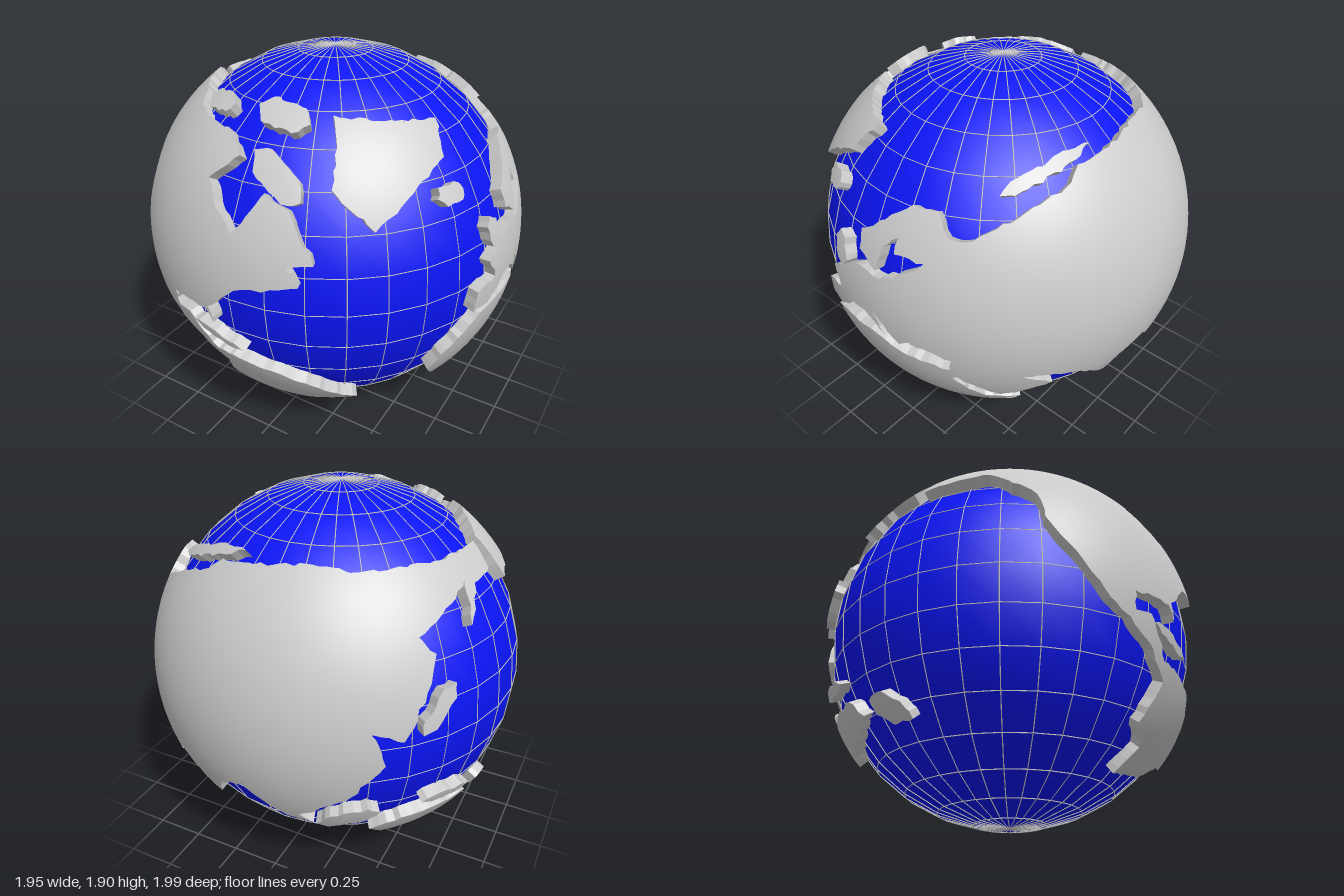
import * as THREE from 'three';
import { mergeGeometries } from 'three/addons/utils/BufferGeometryUtils.js';

const LAND_R = 0.997, BASE_R = 0.93, SEA_R = 0.943, STEP = 0.09;
const grey = new THREE.MeshStandardMaterial({ color: 0xcccccc, side: THREE.DoubleSide });
const blue = new THREE.MeshStandardMaterial({ color: 0x0a14f5 });

// Drops a flat outline (u,v in percent of the radius) onto the unit sphere from the
// direction given by yaw and pitch; returns points of longitude and latitude
const drape = (yaw, pitch) => (...uv) => {
  const turn = new THREE.Euler(-THREE.MathUtils.degToRad(pitch), THREE.MathUtils.degToRad(yaw), 0, 'YXZ');
  const out = [];
  for (let i = 0; i < uv.length; i += 2) {
    const u = uv[i] / 100, v = uv[i + 1] / 100;
    const p = new THREE.Vector3(u, v, Math.sqrt(Math.max(0, 1 - u * u - v * v))).normalize().applyEuler(turn);
    out.push(new THREE.Vector2(Math.atan2(p.x, p.z), Math.asin(p.y)));
  }
  return out;
};
const front = drape(0, 0), side = drape(90, 0), top = drape(0, 90);
const rear = drape(225, 25), under = drape(140, -28);

// Long island: a six-sided outline along a spine, w being half its width
function island(facing, u1, v1, u2, v2, w) {
  const a = new THREE.Vector2(u1, v1), b = new THREE.Vector2(u2, v2);
  const n = b.clone().sub(a).normalize().rotateAround(new THREE.Vector2(), Math.PI / 2);
  const at = (t, s) => a.clone().lerp(b, t).addScaledVector(n, s * w).toArray();
  return facing(...a, ...at(0.2, -1), ...at(0.8, -1), ...b, ...at(0.8, 1), ...at(0.2, 1));
}

const onSphere = (p, r) => new THREE.Vector3().setFromSphericalCoords(r, Math.PI / 2 - p.y, p.x).toArray();

// Raised land: a curved cap over the outline, with walls going down into the sea
function land(name, pts) {
  // Unwrap longitudes, then split the coast into short, slightly ragged pieces
  for (let i = 1; i < pts.length; i++) {
    pts[i].x -= 2 * Math.PI * Math.round((pts[i].x - pts[i - 1].x) / (2 * Math.PI));
  }
  const ring = [];
  pts.forEach((p, i) => {
    const q = pts[(i + 1) % pts.length], n = Math.ceil(p.distanceTo(q) / (STEP / 2));
    ring.push(p);
    for (let k = 1; k < n; k++) {
      const s = ring.length;
      const ragged = new THREE.Vector2(Math.sin(7 * s * s), Math.cos(5 * s * s)).multiplyScalar(0.008);
      ring.push(p.clone().lerp(q, k / n).add(ragged));
    }
  });
  if (THREE.ShapeUtils.isClockWise(ring)) ring.reverse();

  // Cap: halve the longest edge until every triangle hugs the sphere
  const cap = [];
  const split = (a, b, c) => {
    const ab = a.distanceTo(b), bc = b.distanceTo(c), ca = c.distanceTo(a);
    const longest = Math.max(ab, bc, ca);
    if (longest < STEP) {
      for (const p of [a, b, c]) cap.push(...onSphere(p, LAND_R));
    } else if (longest === bc) split(b, c, a);
    else if (longest === ca) split(c, a, b);
    else {
      const h = a.clone().lerp(b, 0.5);
      split(a, h, c);
      split(h, b, c);
    }
  };
  for (const [i, j, k] of THREE.ShapeUtils.triangulateShape(ring, [])) split(ring[i], ring[j], ring[k]);
  const capGeo = new THREE.BufferGeometry();
  capGeo.setAttribute('position', new THREE.Float32BufferAttribute(cap, 3));
  capGeo.setAttribute('normal', new THREE.Float32BufferAttribute(cap.map(v => v / LAND_R), 3));

  // Coast walls
  const wall = [];
  ring.forEach((p, i) => {
    const q = ring[(i + 1) % ring.length];
    const a = onSphere(p, BASE_R), b = onSphere(q, BASE_R), c = onSphere(q, LAND_R), d = onSphere(p, LAND_R);
    wall.push(...a, ...b, ...c, ...a, ...c, ...d);
  });
  const wallGeo = new THREE.BufferGeometry();
  wallGeo.setAttribute('position', new THREE.Float32BufferAttribute(wall, 3));
  wallGeo.computeVertexNormals();

  const mesh = new THREE.Mesh(mergeGeometries([capGeo, wallGeo]), grey);
  mesh.name = name;
  return mesh;
}

export function createModel() {
  const globe = new THREE.Group();
  globe.name = 'globe';
  globe.position.set(-0.025, 0.951, 0);

  // Sea
  const sea = new THREE.Mesh(new THREE.SphereGeometry(SEA_R, 32, 16), blue);
  sea.name = 'sea';
  globe.add(sea);

  // Grid wires: full meridian rings and parallels
  const wire = (name, r) => {
    const mesh = new THREE.Mesh(new THREE.TorusGeometry(r, 0.0025, 4, 32), grey);
    mesh.name = name;
    globe.add(mesh);
    return mesh;
  };
  const gridR = SEA_R + 0.003;
  for (let i = 0; i < 16; i++) {
    const t = i * Math.PI / 16;
    wire('meridian', gridR).rotation.y = t;
    if (i === 0) continue;
    const parallel = wire('parallel', gridR * Math.sin(t));
    parallel.rotation.x = Math.PI / 2;
    parallel.position.y = gridR * Math.cos(t);
  }

  // Western continents: west coast southwards, then back up the east coast
  globe.add(land('westernContinents', [
    ...top(-67, -6, -83, -9),
    ...front(-70, 60, -66, 39, -68, 23, -63, 10, -46, -14, -23, -28, -7, -41, -12, -59, -2, -67, -6, -78,
      16, -75, 34, -66, 48, -64, 33, -44, 19, -37, -1, -33, -10, -33, -20, -21, -24, -15, -33, -16,
      -34, -7, -11, -6, -7, -13, -9, -4, 7, 10, 36, 17, 30, 25, 41, 27, 27, 48, 15, 53, 9, 43, 3, 35,
      -15, 53, -2, 64, -12, 71, -38, 73),
    ...top(-44, -45, -57, -20),
  ]));

  // Eastern continents: north coast westwards, round the inland sea and the
  // southern continent, then along the south and east coasts
  globe.add(land('easternContinents', [
    ...top(-68, 0, -57, 37, -36, 58, -15, 64, 27, 65, 34, 67),
    ...side(61, 60, 47, 48, 38, 48, 30, 57, 19, 57, -4, 40, -3, 31, 8, 25, 10, 37, 17, 43, 17, 36, 31, 36,
      26, 31, 11, 22, -4, 23, -23, 12, -18, 2, -31, -1, -32, -12, -21, -12, -8, -1, 0, -1, 12, -11, 6, 1,
      20, -13, 26, -9, 45, -14, 43, -22, 22, -20, 2, -13, -26, -16, -42, -35, -43, -46, -32, -57,
      -2, -59, 3, -67, 7, -82, 22, -82, 40, -69, 63, -50, 50, -49, 42, -30, 45, -28, 57, -46),
    ...under(9, 14, -10, 25, 20, 19, 38, 0, 45, 11, 58, 14, 69, -10, 75, -18, 74, -9, 84, -5),
    ...rear(-30, -62, -14, -46, -20, -30, -6, -36, 5, -16, 11, 0, 4, 8, 33, 29, 32, 9, 39, 27, 52, 33),
  ]));

  globe.add(land('greatNorthernIsland',
    side(-52, 80, -61, 70, -72, 56, -69, 40, -45, 56, -30, 62, -20, 75)));
  globe.add(land('southernContinent', rear(-14, -85, -5, -91, 30, -85, 42, -80, 37, -76, 0, -80)));

  // Smaller islands
  const islands = {
    bayIsland: [front, 4, 67, 31, 51, 5],
    polarIsland: [front, -4, 81, 23, 77, 4],
    arcticIsland: [front, -37, 77, -17, 79, 3],
    caribbeanIsland: [front, -21, -18, 8, -26, 2],
    volcanicIsland: [side, -43, 48, -29, 49, 4],
    channelIsland: [side, -19, 33, -15, 16, 4],
    arcticArcIsland: [side, 49, 64, 63, 76, 3],
    southeastAfricanIsland: [side, 42, -74, 52, -67, 3],
    easternIsland: [rear, 3, -35, 20, -14, 4],
    southPacificIsland: [rear, 49, -79, 62, -73, 3],
    tropicalIslandEast: [rear, 8, -72, 37, -70, 2],
    tropicalIslandWest: [rear, -40, -76, -13, -72, 4],
  };
  for (const [name, spine] of Object.entries(islands)) globe.add(land(name, island(...spine)));

  const model = new THREE.Group();
  model.name = 'globeModel';
  model.add(globe);
  return model;
}
